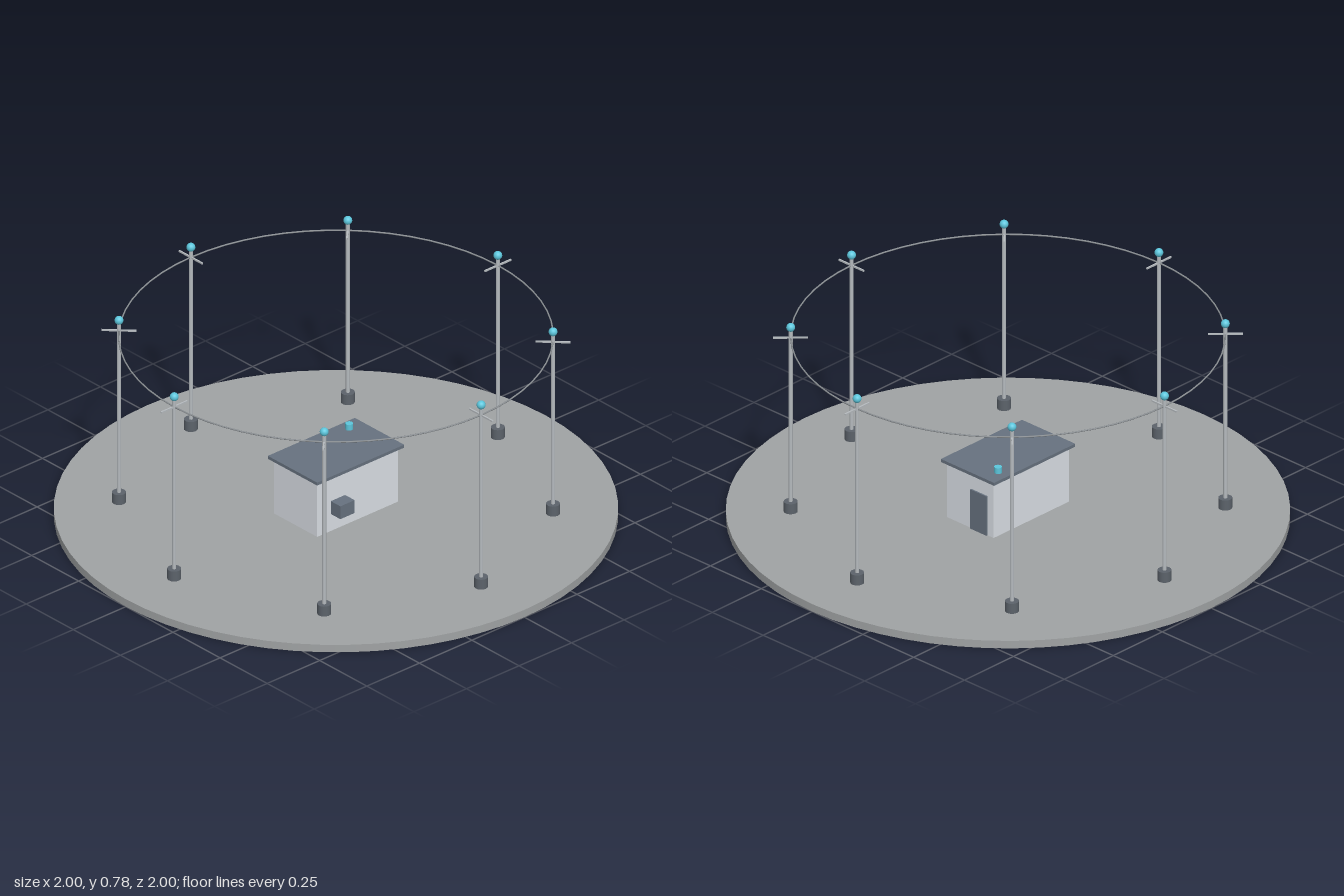
import * as THREE from 'three';

const mat = (name, color) => {
  const m = new THREE.MeshStandardMaterial({ color });
  m.name = name;
  return m;
};

export function createModel() {
  const model = new THREE.Group();
  const concrete = mat('concrete grey', 0xa0a3a4);
  const wall = mat('pale wall', 0xdbe0e6);
  const slate = mat('slate blue', 0x67727f);
  const steel = mat('mast steel', 0xb6bbbf);
  const dark = mat('dark footing', 0x5c636b);
  const wire = mat('wire grey', 0x8d9296);
  const teal = mat('teal', 0x5cc6dc);

  const add = (parent, name, geometry, material, x, y, z) => {
    const mesh = new THREE.Mesh(geometry, material);
    mesh.name = name;
    mesh.position.set(x, y, z);
    parent.add(mesh);
    return mesh;
  };
  const box = (w, h, d) => new THREE.BoxGeometry(w, h, d);
  const cyl = (r, h, n) => new THREE.CylinderGeometry(r, r, h, n);

  // Ground disc
  add(model, 'groundDisc', cyl(1, 0.03, 64), concrete, 0, 0.015, 0);

  // Ring of masts, each with footing, radial crossarm and ball
  const radius = 0.77;
  const footGeo = cyl(0.025, 0.04, 16);
  const mastGeo = cyl(0.0075, 0.7, 12);
  const armGeo = box(0.124, 0.006, 0.006);
  const ballGeo = new THREE.SphereGeometry(0.016, 16, 12);
  for (let i = 0; i < 8; i++) {
    const mast = new THREE.Group();
    mast.name = 'mast' + (i + 1);
    add(mast, 'footing', footGeo, dark, radius, 0.05, 0);
    add(mast, 'pole', mastGeo, steel, radius, 0.405, 0);
    add(mast, 'crossarm', armGeo, steel, radius, 0.725, 0);
    add(mast, 'ball', ballGeo, teal, radius, 0.766, 0);
    mast.rotation.y = (i * Math.PI) / 4;
    model.add(mast);
  }

  // Wire joining the masts
  const ring = add(model, 'ringWire', new THREE.TorusGeometry(radius, 0.003, 6, 64), wire, 0, 0.725, 0);
  ring.rotation.x = Math.PI / 2;

  // Equipment hut
  const hut = new THREE.Group();
  hut.name = 'hut';
  add(hut, 'walls', box(0.385, 0.22, 0.23), wall, 0, 0.14, 0);
  add(hut, 'roof', box(0.414, 0.012, 0.262), slate, 0, 0.256, 0);
  add(hut, 'door', box(0.008, 0.157, 0.08), slate, 0.1945, 0.1085, -0.045);
  add(hut, 'coolingUnit', box(0.068, 0.052, 0.052), slate, -0.094, 0.125, 0.14);
  add(hut, 'roofAntenna', cyl(0.014, 0.024, 16), teal, 0.139, 0.273, -0.085);
  model.add(hut);

  return model;
}
